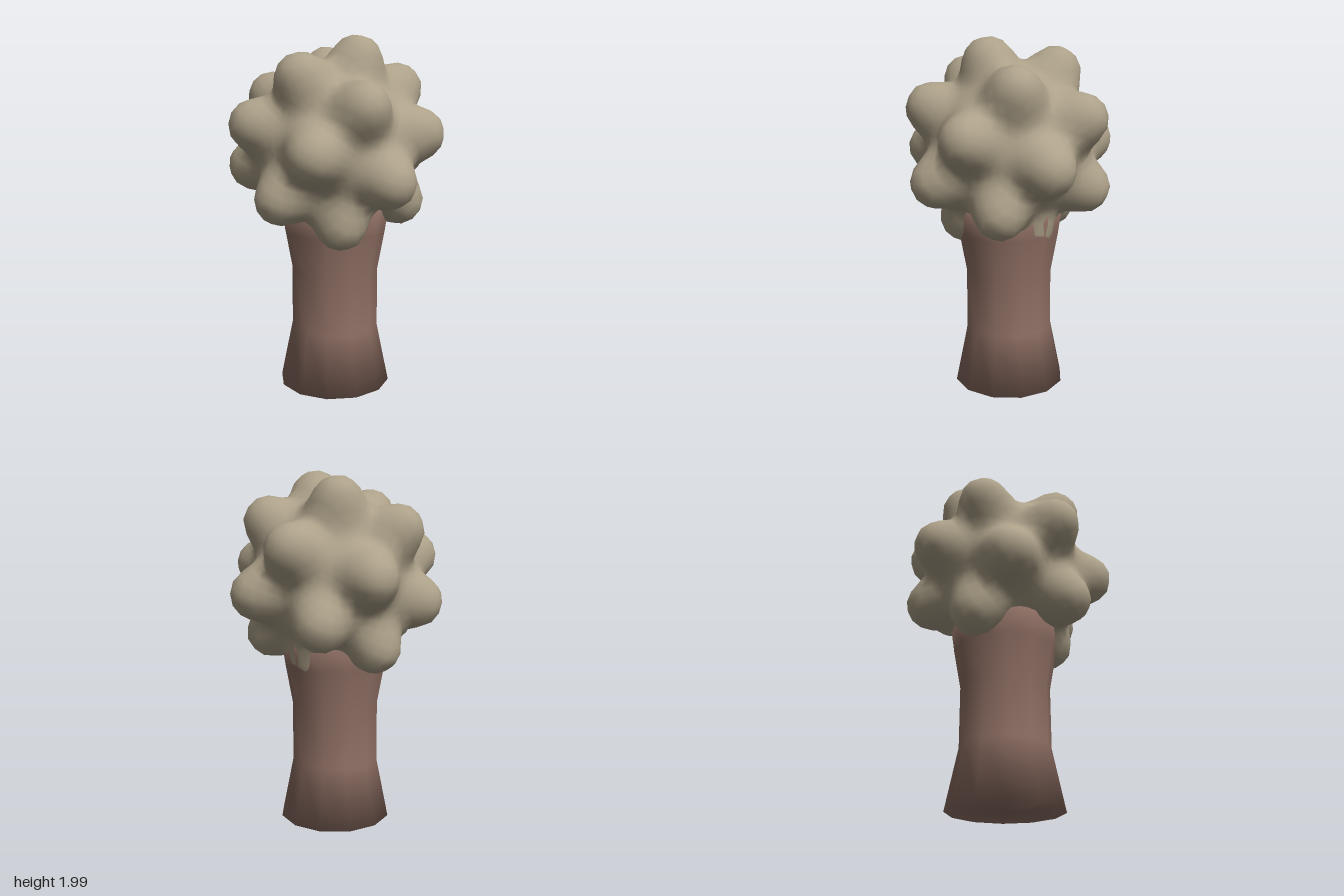
import * as THREE from 'three';
import { mergeVertices } from 'three/addons/utils/BufferGeometryUtils.js';

const BUMPS = 20;
const CENTER_Y = 1.39;
const BASE_RADIUS = 0.455;
const BUMP_HEIGHT = 0.165;
const BUMP_WIDTH = 0.3; // radians

// Bump directions spread evenly along a golden-angle spiral
function bumpDirections() {
  const golden = Math.PI * (3 - Math.sqrt(5));
  return Array.from({ length: BUMPS }, (_, i) => {
    const y = 1 - (2 * (i + 0.5)) / BUMPS;
    const r = Math.sqrt(1 - y * y);
    return new THREE.Vector3(r * Math.cos(i * golden), y, -r * Math.sin(i * golden));
  });
}

// Sphere pushed outwards into rounded knobs
function crownGeometry() {
  const ico = new THREE.IcosahedronGeometry(1, 11);
  ico.deleteAttribute('uv');
  ico.deleteAttribute('normal');
  const geo = mergeVertices(ico, 1e-4);
  const dirs = bumpDirections();
  const pos = geo.attributes.position;
  const v = new THREE.Vector3();
  for (let i = 0; i < pos.count; i++) {
    v.fromBufferAttribute(pos, i).normalize();
    let radius = BASE_RADIUS;
    for (const d of dirs) {
      radius += BUMP_HEIGHT * Math.exp(-Math.pow(v.angleTo(d) / BUMP_WIDTH, 3));
    }
    v.multiplyScalar(radius);
    pos.setXYZ(i, v.x, v.y, v.z);
  }
  geo.computeVertexNormals();
  return geo;
}

export function createModel() {
  const foliage = new THREE.MeshStandardMaterial({ color: 0xada189 });
  foliage.name = 'foliage';
  const bark = new THREE.MeshStandardMaterial({ color: 0x8d6e63 });
  bark.name = 'bark';

  const tree = new THREE.Group();
  tree.name = 'tree';

  // Trunk flaring at the foot and under the crown
  const profile = [
    [0, 0], [0.32, 0], [0.25, 0.34], [0.25, 0.68], [0.29, 0.9], [0.32, 1.1], [0, 1.15],
  ].map(([r, y]) => new THREE.Vector2(r, y));
  const trunk = new THREE.Mesh(new THREE.LatheGeometry(profile, 12), bark);
  trunk.name = 'trunk';
  tree.add(trunk);

  // Knobbly crown
  const crown = new THREE.Mesh(crownGeometry(), foliage);
  crown.name = 'crown';
  crown.position.y = CENTER_Y;
  tree.add(crown);

  return tree;
}
